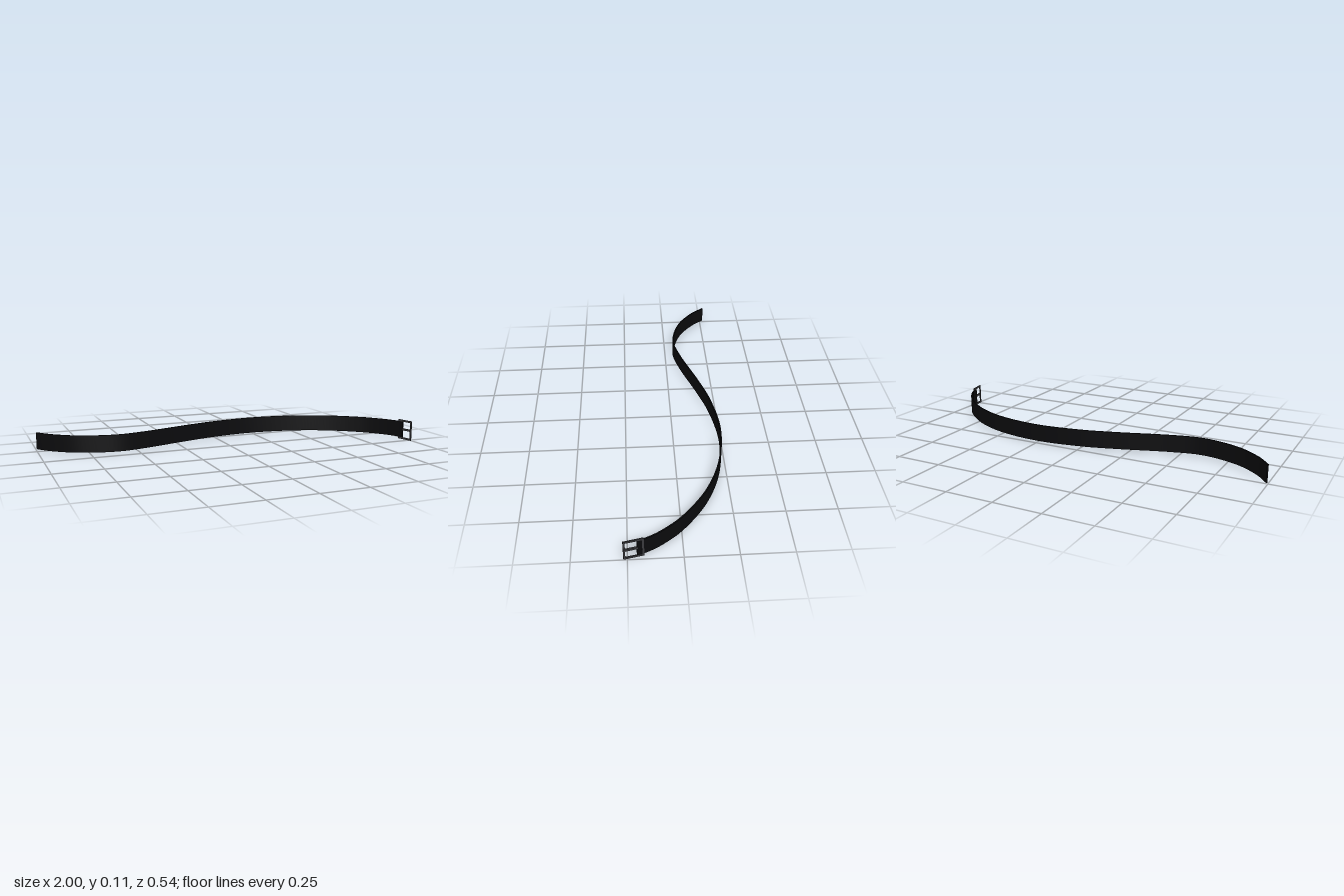
import * as THREE from 'three';
import { toCreasedNormals } from 'three/addons/utils/BufferGeometryUtils.js';

export function createModel() {
  const group = new THREE.Group();
  const leather = new THREE.MeshStandardMaterial({ color: 0x0b0b0d });
  const metal = new THREE.MeshStandardMaterial({ color: 0x3a3a3d });
  const add = (name, geometry, material, parent = group) => {
    const mesh = new THREE.Mesh(geometry, material);
    mesh.name = name;
    parent.add(mesh);
    return mesh;
  };

  // Strap: wavy plan curve (x, -z), thickened and extruded upwards
  const path = new THREE.SplineCurve([
    [-0.998, 0.265], [-0.925, 0.18], [-0.8, 0.095], [-0.62, 0.05], [-0.45, 0.08],
    [-0.2, 0.161], [0, 0.215], [0.24, 0.242], [0.48, 0.211], [0.68, 0.131],
    [0.84, 0.012], [0.93, -0.095], [0.973, -0.175], [0.982, -0.207],
  ].map(([x, y]) => new THREE.Vector2(x, y)));
  const steps = 120, half = 0.0035;
  const sideA = [], sideB = [];
  for (let i = 0; i <= steps; i++) {
    const p = path.getPointAt(i / steps), t = path.getTangentAt(i / steps);
    const n = new THREE.Vector2(-t.y, t.x).multiplyScalar(half);
    sideA.push(p.clone().add(n));
    sideB.unshift(p.clone().sub(n));
  }
  const strap = new THREE.ExtrudeGeometry(new THREE.Shape([...sideA, ...sideB]), {
    depth: 0.09, bevelEnabled: false,
  });
  strap.rotateX(-Math.PI / 2).translate(0, 0.011, 0);
  add('strap', toCreasedNormals(strap, 0.5), leather);

  // Buckle: local x runs on from the strap end, local y is up
  const buckle = new THREE.Group();
  buckle.name = 'buckle';
  buckle.position.set(0.976, 0, 0.175);
  buckle.rotation.y = -Math.atan2(0.093, 0.02);
  group.add(buckle);

  const rect = (Type, x0, y0, x1, y1) => new Type([
    [x0, y0], [x1, y0], [x1, y1], [x0, y1],
  ].map(([x, y]) => new THREE.Vector2(x, y)));
  const frame = rect(THREE.Shape, 0, 0, 0.095, 0.111);
  frame.holes.push(rect(THREE.Path, 0.009, 0.01, 0.086, 0.101));
  const frameGeo = new THREE.ExtrudeGeometry(frame, { depth: 0.006, bevelEnabled: false });
  add('buckleFrame', frameGeo.translate(0, 0, -0.003), metal, buckle);

  // Prong across the frame opening
  const prong = new THREE.BoxGeometry(0.064, 0.011, 0.008);
  add('buckleProng', prong.translate(0.061, 0.0565, 0), metal, buckle);
  return group;
}
